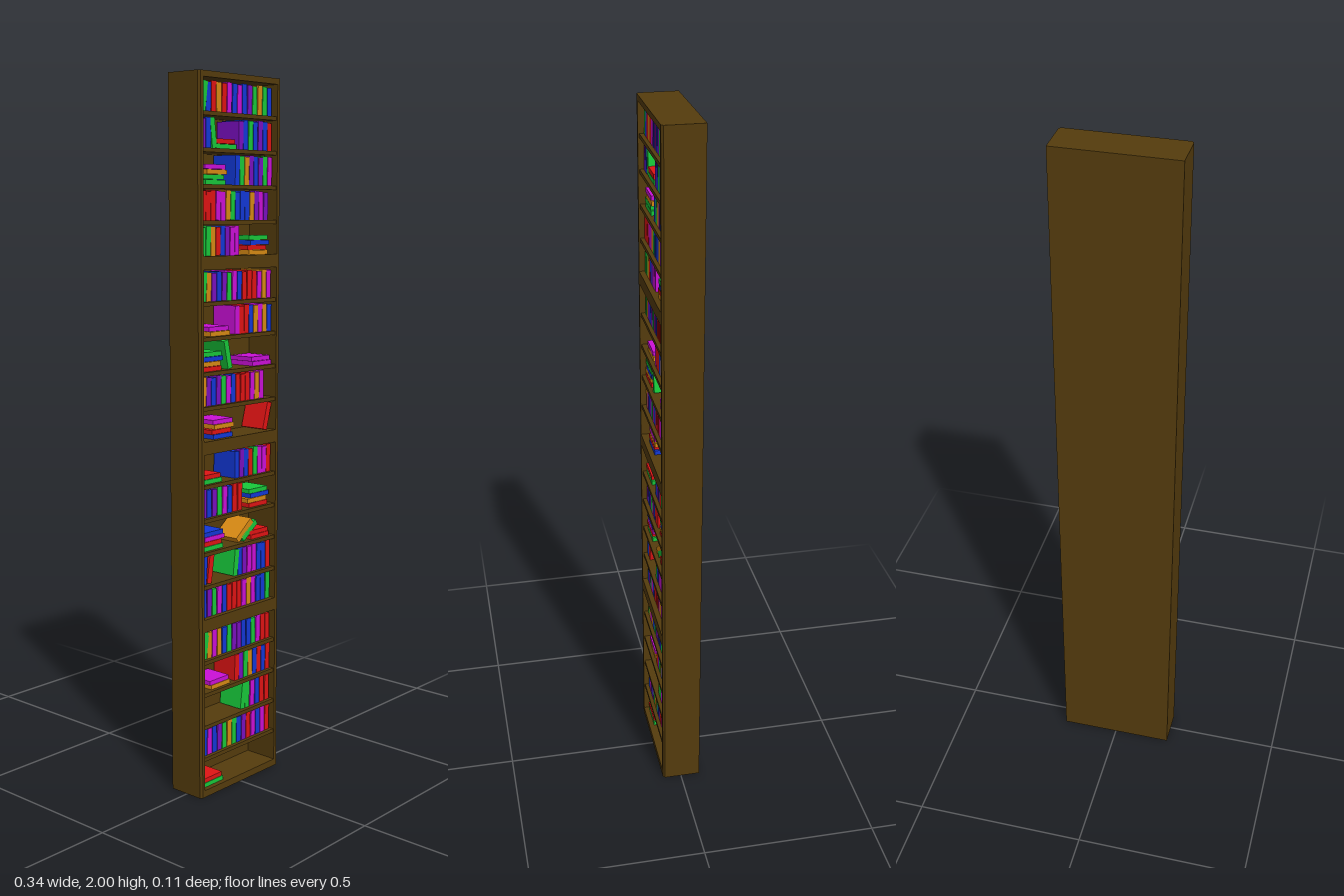
import * as THREE from 'three';

const WOOD = 0x553c0d;
const COLORS = { r: 0xe01414, g: 0x18c83a, b: 0x1238d8, m: 0xcc10d8, o: 0xd88a14, p: 0x7a10c0 };
const mats = {};
const mat = (c) => (mats[c] ??= new THREE.MeshStandardMaterial({ color: c, flatShading: true }));

const XL = -0.169, XR = 0.167, ZB = -0.057, ZF = 0.055; // outer case
const WALL = 0.016, BOARD = 0.011, CHAMFER = 0.006;
const UNIT = 0.5, PITCH = 0.0945, FLOOR = 0.02;
const BOOK_H = 0.08, BOOK_W = 0.018, BOOK_D = 0.08, FLAT_H = 0.0135;
const BOOK_STEP = 0.0205;

function box(parent, name, color, x0, x1, y0, y1, z0, z1) {
  const mesh = new THREE.Mesh(new THREE.BoxGeometry(x1 - x0, y1 - y0, z1 - z0), mat(color));
  mesh.position.set((x0 + x1) / 2, (y0 + y1) / 2, (z0 + z1) / 2);
  mesh.name = name;
  parent.add(mesh);
  return mesh;
}

// Side wall with its outer front edge cut off
function sideWall(parent, name, side, y0) {
  const outer = side < 0 ? XL : XR, inner = outer - side * WALL;
  const shape = new THREE.Shape([
    [outer, -ZB], [outer, -ZF + CHAMFER], [outer - side * CHAMFER, -ZF], [inner, -ZF], [inner, -ZB],
  ].map(([x, y]) => new THREE.Vector2(x, y)));
  const geo = new THREE.ExtrudeGeometry(shape, { depth: UNIT, bevelEnabled: false });
  geo.rotateX(-Math.PI / 2);
  const mesh = new THREE.Mesh(geo, mat(WOOD));
  mesh.position.y = y0;
  mesh.name = name;
  parent.add(mesh);
}

// Upright book; a positive lean tips its top to the right about its lower right corner
function upright(parent, x, y, color, lean = 0, height = BOOK_H) {
  const pivot = new THREE.Group();
  pivot.name = 'uprightBook';
  const s = lean >= 0 ? 1 : -1;
  pivot.position.set(x + (s > 0 ? BOOK_W : 0), y, 0);
  pivot.rotation.z = -lean;
  box(pivot, 'book', color, s > 0 ? -BOOK_W : 0, s > 0 ? 0 : BOOK_W, 0, height, -BOOK_D / 2, BOOK_D / 2);
  parent.add(pivot);
}

// Run of upright books between two positions, with small changes of height and lean
function run(parent, x0, x1, y, seed, firstLean = 0) {
  const palette = 'bmrgpbormbgmrbpo';
  const n = Math.round((x1 - x0) / BOOK_STEP);
  const step = (x1 - x0) / n;
  for (let i = 0; i < n; i++) {
    const k = (i * 5 + seed * 7 + (i * i * seed) % 3) % palette.length;
    const lean = i === 0 && firstLean ? firstLean : 0.03 * (((i * 3 + seed) % 5) / 4);
    const color = i === 0 && firstLean ? COLORS.g : COLORS[palette[k]];
    upright(parent, x0 + i * step, y, color, lean, BOOK_H - 0.002 * ((i + seed) % 3));
  }
}

// Pile of flat books, colours listed from the bottom up
function pile(parent, x, y, colors) {
  [...colors].forEach((c, i) => {
    const dx = 0.006 * (((i * 2 + 1) % 3) - 1);
    box(parent, 'flatBook', COLORS[c], x - 0.04 + dx, x + 0.04 + dx,
      y + i * FLAT_H, y + (i + 1) * FLAT_H - 0.001, -BOOK_D / 2, BOOK_D / 2);
  });
}

// Contents of every shelf from the top down:
// ['run', x0, x1, lean of first], ['pile', x, colours], ['one', x, colour, lean, height]
const L = -0.147, R = 0.146;
const SHELVES = [
  [['run', L, R, 0.14]],
  [['run', L, -0.105], ['one', -0.101, 'g', -0.12], ['pile', -0.045, 'gr'], ['run', 0.005, R]],
  [['pile', -0.09, 'ggom'], ['run', -0.01, R]],
  [['run', L, 0.13]],
  [['run', L, 0.008], ['pile', 0.088, 'orbg']],
  [['run', L, R, 0.08]],
  [['pile', -0.071, 'om'], ['run', -0.01, R]],
  [['pile', -0.105, 'robg'], ['one', -0.038, 'g', -0.22], ['pile', 0.106, 'mm']],
  [['run', L, 0.115]],
  [['pile', -0.06, 'brom'], ['one', 0.11, 'r', 0.27]],
  [['pile', -0.105, 'gr'], ['run', -0.01, R]],
  [['run', L, 0.024], ['pile', 0.092, 'robg']],
  [['pile', -0.1, 'grmb'], ['one', -0.01, 'o', 0.9], ['one', 0.012, 'g', 0.95, 0.073], ['pile', 0.1, 'rr']],
  [['one', L, 'b', 0.07], ['one', -0.126, 'r', 0.15], ['run', -0.017, R, 0.12]],
  [['run', L, R]],
  [['run', L, R, 0.14]],
  [['pile', -0.07, 'om'], ['run', -0.01, R]],
  [['run', 0.015, R, 0.13]],
  [['run', L, R]],
  [['pile', -0.1, 'gr']],
];

export function createModel() {
  const model = new THREE.Group();
  model.name = 'tallBookcase';
  const xl = XL + WALL, xr = XR - WALL;

  // Four identical cases stacked on top of each other
  for (let u = 0; u < 4; u++) {
    const y0 = u * UNIT;
    const unit = new THREE.Group();
    unit.name = 'case' + (u + 1);
    sideWall(unit, 'rightSide', -1, y0);
    sideWall(unit, 'leftSide', 1, y0);
    box(unit, 'backPanel', WOOD, xl, xr, y0, y0 + UNIT, ZB, ZB + 0.01);
    box(unit, 'bottomBoard', WOOD, xl, xr, y0, y0 + FLOOR, ZB + 0.01, ZF);
    box(unit, 'topBoard', WOOD, xl, xr, y0 + UNIT - 0.016, y0 + UNIT, ZB + 0.01, ZF);
    for (let i = 1; i < 5; i++) {
      const y = y0 + FLOOR + i * PITCH;
      box(unit, 'shelf', WOOD, xl, xr, y - BOARD, y, ZB + 0.01, ZF - 0.004);
    }
    model.add(unit);
  }

  // Books
  SHELVES.forEach((items, row) => {
    const y = (3 - Math.floor(row / 5)) * UNIT + FLOOR + (4 - (row % 5)) * PITCH;
    const books = new THREE.Group();
    books.name = 'shelfBooks' + (row + 1);
    for (const [kind, a, b, c, d] of items) {
      if (kind === 'run') run(books, a, b, y, row + 1, c);
      else if (kind === 'pile') pile(books, a, y, b);
      else upright(books, a, y, COLORS[b], c, d);
    }
    model.add(books);
  });

  return model;
}
